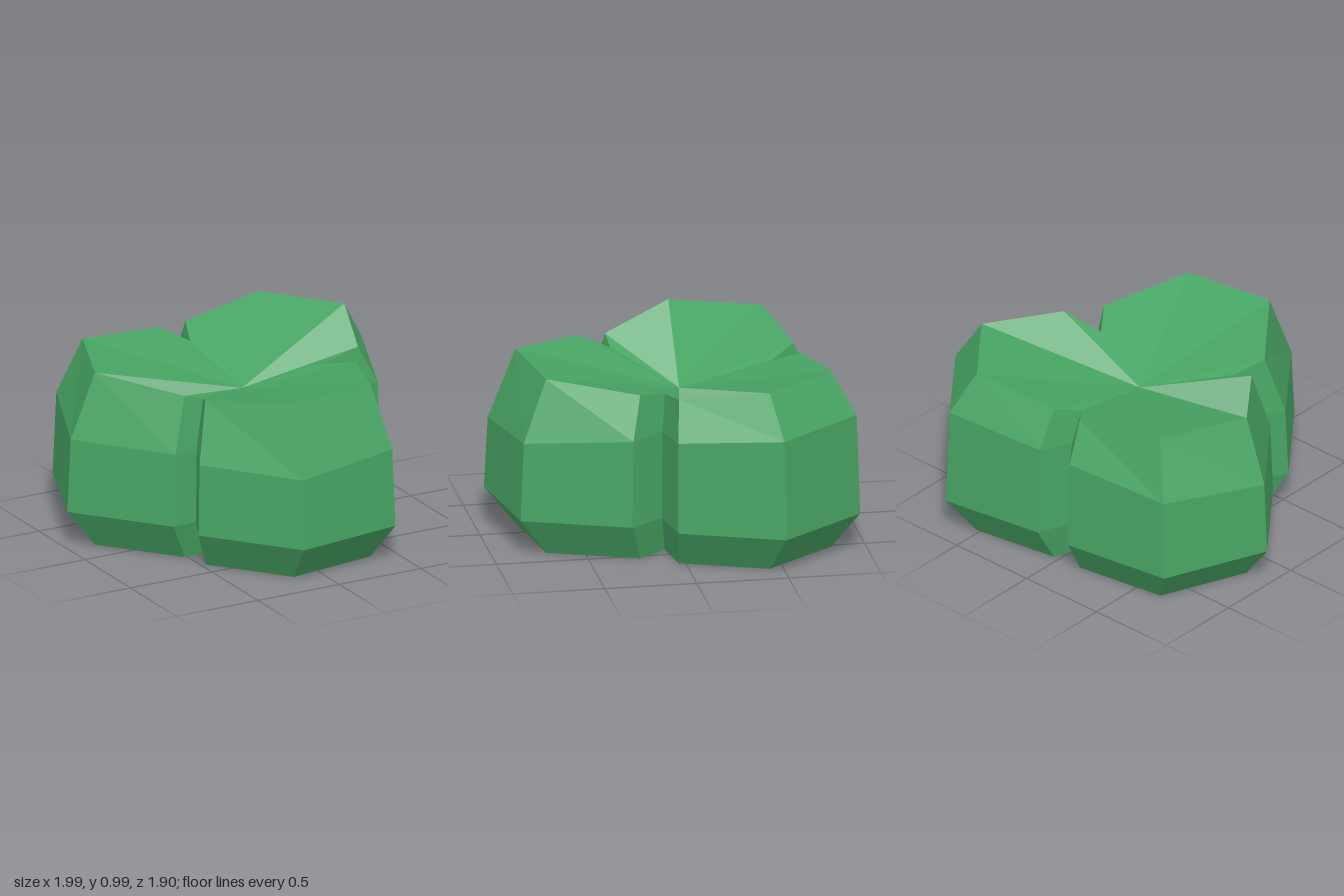
import * as THREE from 'three';

// Plan outline as [x, z, top height]; three four-cornered lobes, each followed by a notch
const OUTLINE = [
  [0.04, -0.865, 0.935], [0.62, -0.955, 0.99], [0.99, -0.49, 0.99], [0.78, 0.06, 0.925], [0.5, 0.1, 0.88],
  [0.64, 0.285, 0.92], [0.425, 0.855, 0.98], [-0.185, 0.945, 0.985], [-0.565, 0.47, 0.935], [-0.475, 0.28, 0.88],
  [-0.615, 0.29, 0.92], [-1.0, -0.19, 0.98], [-0.77, -0.76, 0.985], [-0.165, -0.85, 0.935], [-0.03, -0.68, 0.88],
];
const COUNT = OUTLINE.length;
const CENTRE_Z = -0.09;

// The outline scaled about the centre axis, with a height rule per point
function ring(scale, height) {
  return OUTLINE.map(([x, z, top]) => {
    const px = x * scale;
    const pz = CENTRE_Z + (z - CENTRE_Z) * scale;
    return [px, height(px, pz, top), pz];
  });
}

function meshFrom(name, triangles, material) {
  const geometry = new THREE.BufferGeometry();
  geometry.setAttribute('position', new THREE.Float32BufferAttribute(triangles.flat(2), 3));
  geometry.computeVertexNormals(); // unshared corners keep the facets flat
  const mesh = new THREE.Mesh(geometry, material);
  mesh.name = name;
  return mesh;
}

export function createModel() {
  const leafGreen = new THREE.MeshStandardMaterial({ color: 0x48a564 });
  leafGreen.name = 'leafGreen';
  const paleGreen = new THREE.MeshStandardMaterial({ color: 0x80bd90 });
  paleGreen.name = 'paleGreen';

  const base = ring(0.84, () => 0);
  const belly = ring(1, () => 0.21);
  const shoulder = ring(0.98, (x, z) => 0.669 + 0.061 * x - 0.062 * z);
  const rim = ring(0.84, (x, z, top) => top);
  const apex = [0.01, 0.77, -0.08];
  const floor = [0, 0, CENTRE_Z];

  const sides = [], underside = [], dish = [], pale = [];
  const rings = [base, belly, shoulder, rim];
  for (let i = 0; i < COUNT; i++) {
    const j = (i + 1) % COUNT;
    // Stacked side bands
    for (let k = 0; k < 3; k++) {
      const low = rings[k], high = rings[k + 1];
      sides.push([low[i], high[i], high[j]], [low[i], high[j], low[j]]);
    }
    underside.push([floor, base[i], base[j]]);
    // Sunken top, with one pale facet on each of the two back lobes
    const isPale = i === 2 || i === 10;
    (isPale ? pale : dish).push([apex, rim[j], rim[i]]);
  }

  const group = new THREE.Group();
  group.name = 'lobedBush';
  group.add(
    meshFrom('lobedSides', sides, leafGreen),
    meshFrom('underside', underside, leafGreen),
    meshFrom('sunkenTop', dish, leafGreen),
    meshFrom('paleTopFacets', pale, paleGreen),
  );
  return group;
}
